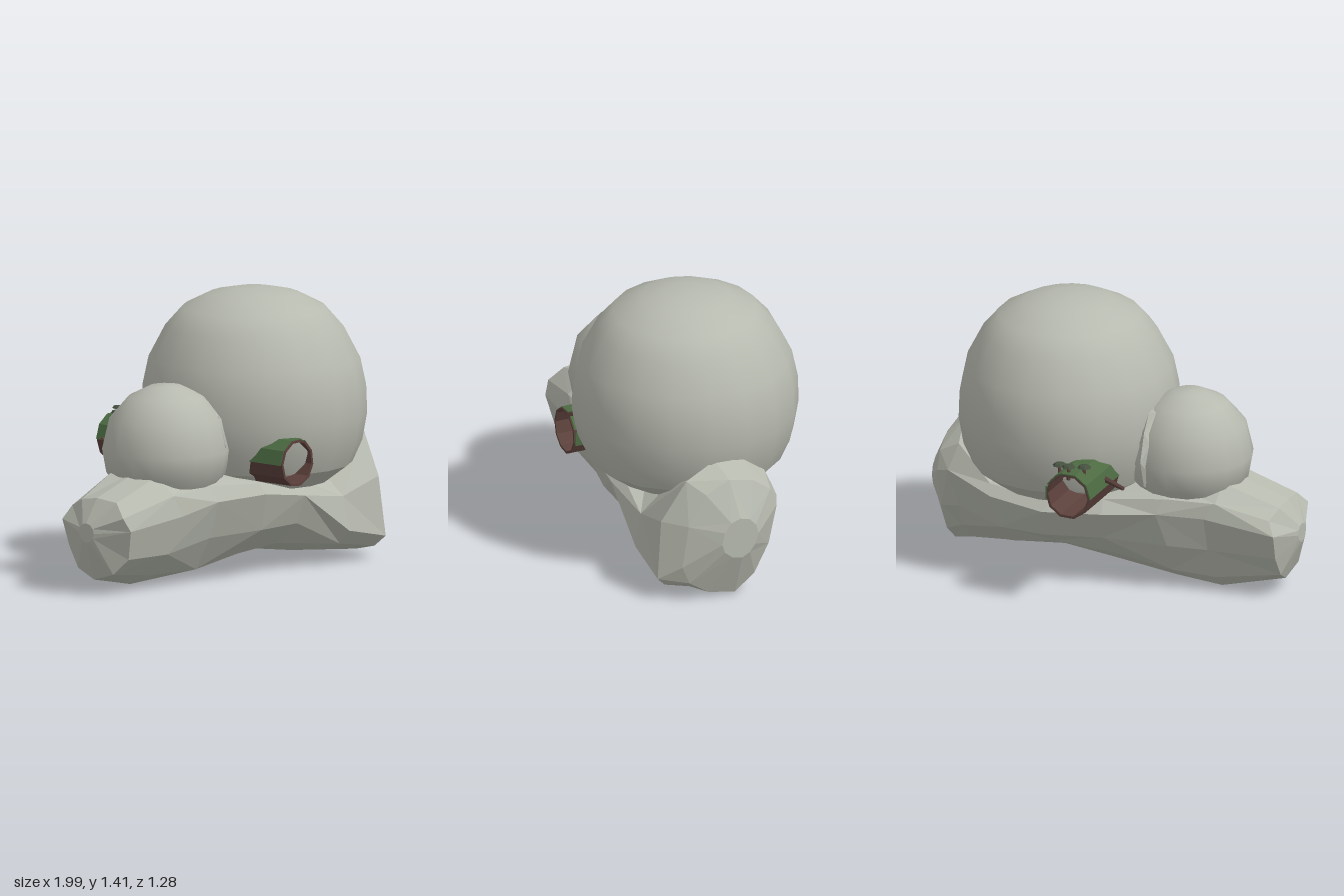
import * as THREE from 'three';

const material = (name, color) => {
  const m = new THREE.MeshStandardMaterial({ color });
  m.name = name;
  return m;
};

// Split every face apart so it shades flat
function faceted(geometry) {
  const g = geometry.index ? geometry.toNonIndexed() : geometry;
  g.computeVertexNormals();
  return g;
}

// Long lumpy rock lofted along x
// station: x, yTop, yBottom, zBack, zFront, yBackWide, yFrontWide, zBottom
function rockGeometry() {
  const stations = [
    [-1.0, 0.37, 0.27, 0.02, 0.12, 0.32, 0.32, 0.07],
    [-0.92, 0.49, 0.07, -0.15, 0.3, 0.36, 0.34, 0.05],
    [-0.6, 0.6, 0.0, -0.2, 0.34, 0.42, 0.38, 0.0],
    [-0.35, 0.56, 0.02, -0.26, 0.38, 0.43, 0.43, 0.0],
    [-0.05, 0.53, 0.05, -0.32, 0.44, 0.41, 0.44, 0.02],
    [0.25, 0.5, 0.085, -0.33, 0.45, 0.38, 0.4, 0.04],
    [0.55, 0.53, 0.04, -0.28, 0.46, 0.4, 0.18, 0.08],
    [0.8, 0.71, 0.02, -0.19, 0.46, 0.47, 0.12, 0.08],
    [0.9, 0.64, 0.01, -0.16, 0.36, 0.45, 0.2, 0.07],
    [0.99, 0.46, 0.24, -0.02, 0.18, 0.36, 0.33, 0.07],
  ];
  const n = 12;
  let seed = 7;
  const jitter = (amount) => {
    seed = (seed * 16807) % 2147483647;
    return (seed / 2147483647 - 0.5) * 2 * amount;
  };
  const positions = [], index = [];
  stations.forEach(([x, top, bottom, back, front, backY, frontY, bottomZ], s) => {
    const rough = s > 0 && s < stations.length - 2;
    const topZ = (back + front) / 2;
    for (let i = 0; i < n; i++) {
      const a = (i / n) * Math.PI * 2;
      const c = Math.cos(a), q = Math.sin(a);
      const isFront = q >= 0, isTop = c >= 0;
      const wideY = isFront ? frontY : backY;
      const midZ = isTop ? topZ : bottomZ;
      // the lower back is pulled in towards a chamfer
      const k = isTop || isFront || i % 3 === 0 ? 1 : 0.93;
      const y = wideY + Math.abs(c) * k * ((isTop ? top : bottom) - wideY);
      const z = midZ + Math.abs(q) * k * ((isFront ? front : back) - midZ);
      const j = rough && i % 3 ? 0.016 : 0;
      positions.push(x + jitter(rough ? 0.03 : 0), y + jitter(j), z + jitter(j));
    }
  });
  for (let s = 0; s < stations.length - 1; s++) {
    for (let i = 0; i < n; i++) {
      const a = s * n + i, b = s * n + (i + 1) % n;
      const c = a + n, d = b + n;
      if ((s + i) % 2) index.push(a, b, c, b, d, c);
      else index.push(a, b, d, a, d, c);
    }
  }
  const last = (stations.length - 1) * n;
  for (let i = 1; i < n - 1; i++) {
    index.push(0, i + 1, i, last, last + i, last + i + 1);
  }
  const g = new THREE.BufferGeometry();
  g.setAttribute('position', new THREE.Float32BufferAttribute(positions, 3));
  g.setIndex(index);
  return faceted(g);
}

const lathe = (points, sides) =>
  new THREE.LatheGeometry(points.map(([r, y]) => new THREE.Vector2(r, y)), sides);

// Curved strip of a hollow log, angles in degrees from +x, extruded along z
function shellGeometry(inner, outer, from, to, steps, z0, z1) {
  const shape = new THREE.Shape();
  const at = (r, i) => {
    const a = THREE.MathUtils.degToRad(from + (to - from) * i / steps);
    return [r * Math.cos(a), r * Math.sin(a)];
  };
  shape.moveTo(...at(outer, 0));
  for (let i = 1; i <= steps; i++) shape.lineTo(...at(outer, i));
  for (let i = steps; i >= 0; i--) shape.lineTo(...at(inner, i));
  const g = new THREE.ExtrudeGeometry(shape, { depth: z1 - z0, bevelEnabled: false });
  return faceted(g.translate(0, 0, z0));
}

export function createModel() {
  const model = new THREE.Group();
  model.name = 'boulders';
  const stone = material('stone', 0xb7baaf);
  const bark = material('bark', 0x5c413c);
  const moss = material('moss', 0x4c6a42);
  const cap = material('mushroomCap', 0x465240);

  const add = (parent, name, geometry, mat, x = 0, y = 0, z = 0) => {
    const mesh = new THREE.Mesh(geometry, mat);
    mesh.name = name;
    mesh.position.set(x, y, z);
    parent.add(mesh);
    return mesh;
  };

  add(model, 'baseRock', rockGeometry(), stone);

  // Large boulder with a flattened underside
  const big = add(model, 'largeBoulder', lathe([[0.5, 0.53], [0.55, 0.64], [0.575, 0.78],
    [0.57, 0.92], [0.54, 1.06], [0.455, 1.22], [0.37, 1.315], [0.23, 1.385], [0.1, 1.412],
    [0, 1.414]], 18), stone, 0.272, 0, 0.063);
  big.scale.x = 0.97;
  const under = add(model, 'largeBoulderUnderside',
    faceted(lathe([[0, 0.44], [0.38, 0.44], [0.5, 0.53]], 18)), stone, 0.272, 0, 0.063);
  under.scale.x = 0.97;

  // Small boulder and the wedge of stone between the two
  add(model, 'smallBoulder', lathe([[0.22, 0.45], [0.3, 0.55], [0.322, 0.67], [0.285, 0.83],
    [0.19, 0.94], [0.08, 0.995], [0, 1.0]], 18), stone, -0.39, 0, 0.06);
  const wedge = add(model, 'wedgeStone', faceted(new THREE.IcosahedronGeometry(1, 1)),
    stone, -0.26, 0.7, 0.04);
  wedge.scale.set(0.06, 0.27, 0.31);

  // Hollow log running through, split along the top of its front half
  const log = new THREE.Group();
  log.name = 'hollowLog';
  log.position.set(-0.012, 0.612, 0);
  log.rotation.y = 0.012;
  model.add(log);
  add(log, 'logFront', shellGeometry(0.108, 0.121, 74, 420, 10, 0, 0.605), bark);
  add(log, 'logBack', shellGeometry(0.108, 0.121, 74, 434, 10, -0.635, 0), bark);
  add(log, 'mossSide', shellGeometry(0.118, 0.125, -16, 18, 1, -0.636, 0.6), moss);
  add(log, 'mossShoulder', shellGeometry(0.118, 0.125, 25, 60, 1, -0.636, 0.6), moss);
  add(log, 'mossTop', shellGeometry(0.118, 0.125, 74, 180, 3, -0.636, 0.6), moss);
  add(log, 'mossRidge', shellGeometry(0.118, 0.125, 60, 74, 1, -0.636, 0), moss);

  // Broken branch stub
  const start = new THREE.Vector3(-0.09, 0.64, -0.38);
  const end = new THREE.Vector3(-0.26, 0.64, -0.49);
  const dir = end.clone().sub(start);
  const branch = add(model, 'branch',
    faceted(new THREE.CylinderGeometry(0.011, 0.018, dir.length(), 6)), bark);
  branch.position.copy(start).add(end).multiplyScalar(0.5);
  branch.quaternion.setFromUnitVectors(new THREE.Vector3(0, 1, 0), dir.normalize());

  // Mushrooms on the back end of the log
  [[-0.075, 0.762, -0.55], [-0.01, 0.772, -0.6], [0.05, 0.765, -0.575]].forEach(([x, y, z]) => {
    const mushroom = new THREE.Group();
    mushroom.name = 'mushroom';
    mushroom.position.set(x, y, z);
    model.add(mushroom);
    add(mushroom, 'mushroomStem', faceted(new THREE.CylinderGeometry(0.008, 0.01, 0.075, 6)),
      bark, 0, -0.046, 0);
    add(mushroom, 'mushroomGills', faceted(lathe([[0, -0.016], [0.036, -0.016]], 7)), bark);
    add(mushroom, 'mushroomCap',
      faceted(lathe([[0.036, -0.016], [0.026, -0.004], [0, 0]], 7)), cap);
  });
  return model;
}
